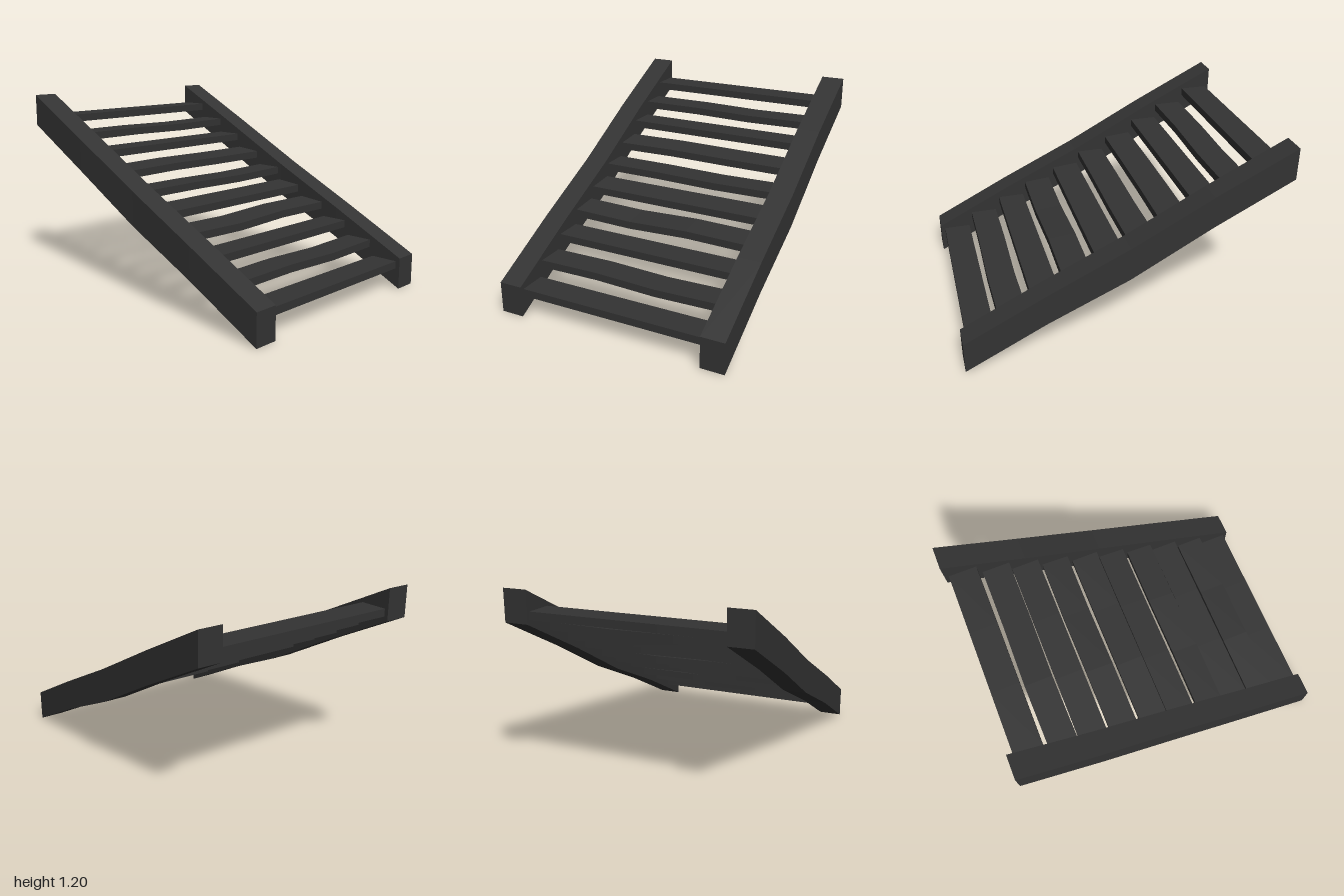
import * as THREE from 'three';

const material = new THREE.MeshStandardMaterial({ color: 0x333333, flatShading: true });

// Moves every vertex of a geometry by a rule that edits the vector in place
function reshape(geometry, rule) {
  const pos = geometry.attributes.position;
  const v = new THREE.Vector3();
  for (let i = 0; i < pos.count; i++) {
    rule(v.fromBufferAttribute(pos, i));
    pos.setXYZ(i, v.x, v.y, v.z);
  }
  geometry.computeVertexNormals();
  return geometry;
}

// Sloping side rail: one box in four segments, slightly warped at the joints
const railTop = [1.2, 0.95, 0.69, 0.45, 0.2]; // from back to front
const railBottom = [1.0, 0.745, 0.475, 0.25, 0];
function makeRail(name, x, sway) {
  const geometry = reshape(new THREE.BoxGeometry(0.15, 1, 2, 1, 1, 4), (v) => {
    const i = Math.round((v.z + 1) * 2);
    v.y = v.y > 0 ? railTop[i] : railBottom[i];
    v.x += x + sway[i];
  });
  const rail = new THREE.Mesh(geometry, material);
  rail.name = name;
  return rail;
}

// Treads from the bottom up: z, y, rise of the back edge,
// and the warp in y and z at the two inner joints (x = -0.2 and 0.2)
const treads = [
  { z: 0.885, y: 0.153 },
  { z: 0.685, y: 0.257, warpY: [0.005, -0.006], warpZ: [0, 0.005] },
  { z: 0.48, y: 0.352 },
  { z: 0.285, y: 0.456, tilt: 0.015, warpY: [-0.007, 0.006], warpZ: [0.003, -0.003] },
  { z: 0.077, y: 0.547, tilt: 0.016 },
  { z: -0.113, y: 0.643, warpY: [0, -0.007] },
  { z: -0.315, y: 0.743, tilt: 0.015, warpY: [0.006, 0], warpZ: [0, -0.004] },
  { z: -0.51, y: 0.847 },
  { z: -0.69, y: 0.946, warpY: [0, -0.006], warpZ: [-0.006, 0] },
  { z: -0.887, y: 1.047 },
];

function makeTread({ z, y, tilt = 0, warpY = [0, 0], warpZ = [0, 0] }, index) {
  const geometry = reshape(new THREE.BoxGeometry(1.2, 0.048, 0.175, 3, 1, 1), (v) => {
    const joint = Math.round((v.x + 0.6) / 0.4) - 1;
    v.y += y + (v.z < 0 ? tilt / 2 : -tilt / 2) + (warpY[joint] ?? 0);
    v.z += z + (warpZ[joint] ?? 0);
  });
  const tread = new THREE.Mesh(geometry, material);
  tread.name = `tread${index + 1}`;
  return tread;
}

export function createModel() {
  const model = new THREE.Group();
  model.name = 'staircase';
  model.add(
    makeRail('leftRail', 0.675, [0, -0.002, 0.004, 0, 0]),
    makeRail('rightRail', -0.675, [0, -0.004, 0.002, -0.002, 0]),
  );
  const steps = new THREE.Group();
  steps.name = 'treads';
  treads.forEach((tread, i) => steps.add(makeTread(tread, i)));
  model.add(steps);
  return model;
}
